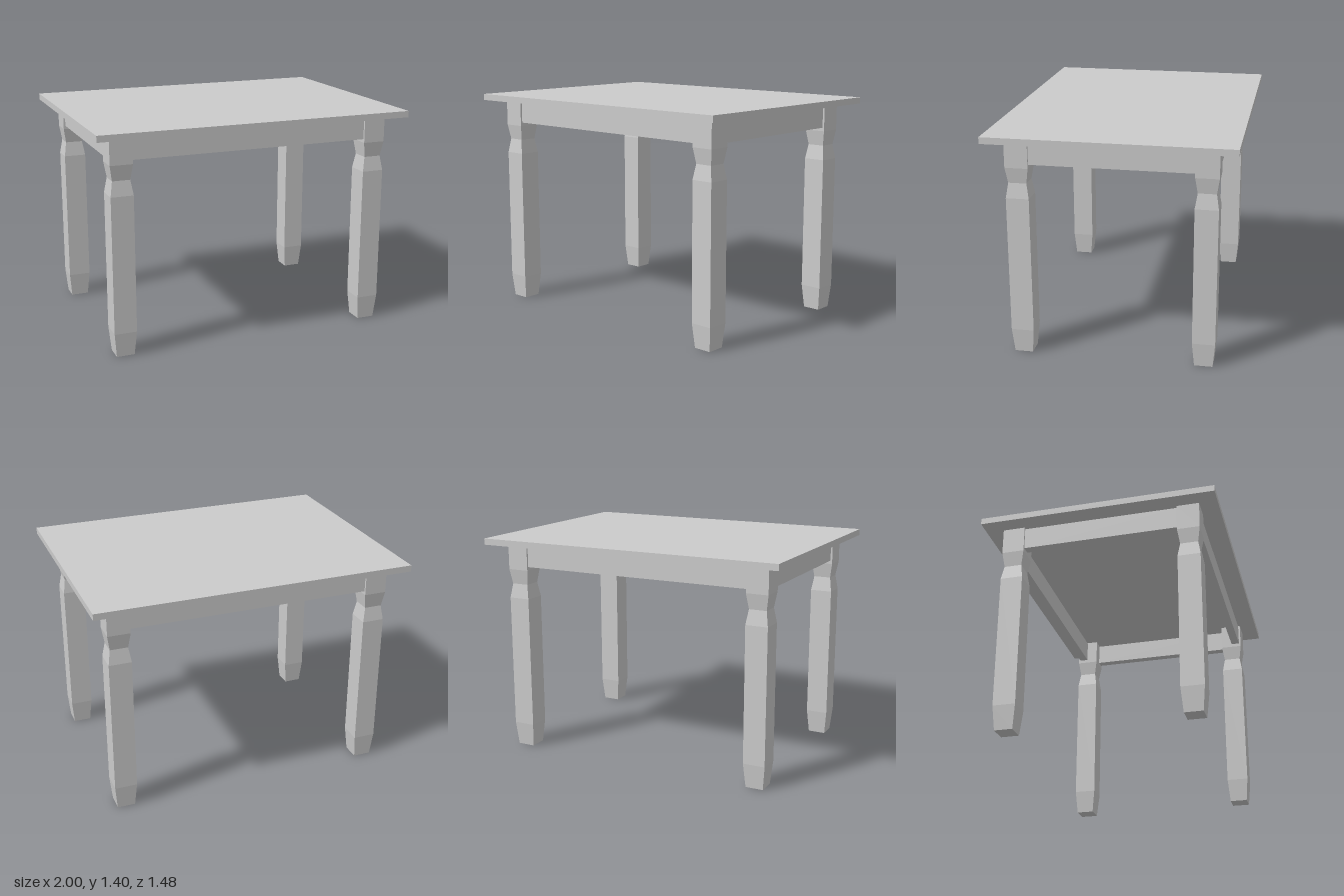
import * as THREE from 'three';

const material = new THREE.MeshStandardMaterial({ color: 0xcccccc, flatShading: true });

function addBox(parent, name, size, position) {
  const mesh = new THREE.Mesh(new THREE.BoxGeometry(...size), material);
  mesh.name = name;
  mesh.position.set(...position);
  parent.add(mesh);
}

export function createModel() {
  const table = new THREE.Group();
  table.name = 'table';

  const legX = 0.828, legZ = 0.559, half = 0.07;
  const underside = 1.362;

  // Table top
  addBox(table, 'tableTop', [2, 0.04, 1.484], [0, underside + 0.02, 0]);

  // Square leg: half-width and height pairs, with a tapered foot and a pinched neck
  const profile = [
    [0, 0.003], [0.056, 0.003], [half, 0.155], [half, 1.008],
    [0.055, 1.1], [half, 1.195], [half, underside], [0, underside],
  ].map(([w, y]) => new THREE.Vector2(w * Math.SQRT2, y));
  const legGeometry = new THREE.LatheGeometry(profile, 4, Math.PI / 4);

  // Rails under the top, set just behind the outer faces of the legs
  const railTop = 1.357, railBottom = 1.217, thick = 0.055, recess = 0.012;
  const height = railTop - railBottom, railY = (railTop + railBottom) / 2;
  const inset = half - recess - thick / 2;

  for (const s of [1, -1]) {
    for (const t of [1, -1]) {
      const leg = new THREE.Mesh(legGeometry, material);
      leg.name = (t > 0 ? 'front' : 'back') + (s > 0 ? 'Left' : 'Right') + 'Leg';
      leg.position.set(s * legX, 0, t * legZ);
      table.add(leg);
    }
    addBox(table, s > 0 ? 'frontRail' : 'backRail',
      [2 * (legX - half), height, thick], [0, railY, s * (legZ + inset)]);
    addBox(table, s > 0 ? 'leftRail' : 'rightRail',
      [thick, height, 2 * (legZ - half)], [s * (legX + inset), railY, 0]);
  }
  return table;
}
